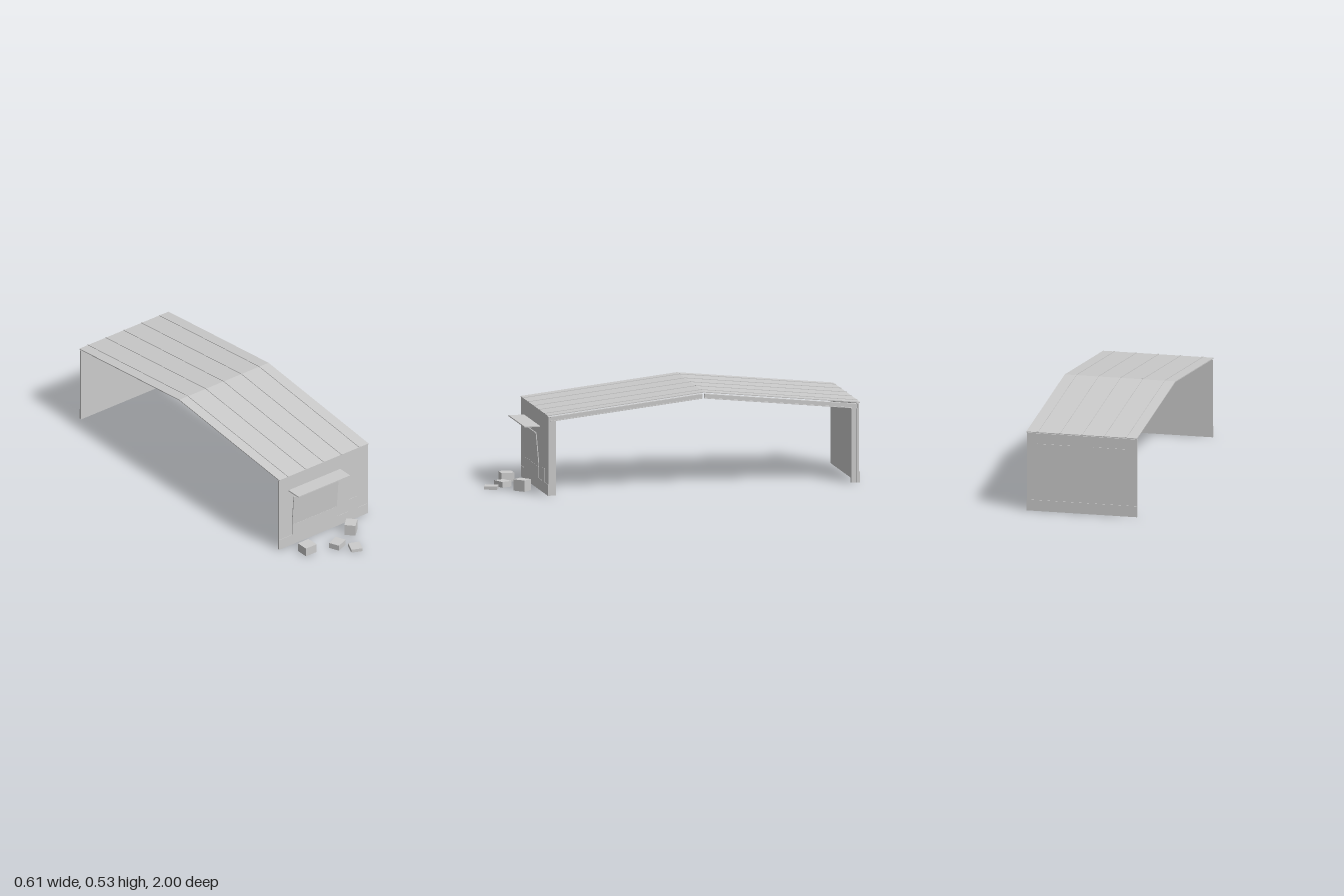
import * as THREE from 'three';

const grey = new THREE.MeshStandardMaterial({ color: 0xcccccc });
grey.name = 'light grey';

const RIDGE_Z = -0.14, RIDGE_Y = 0.527, SLOPE = 0.1074, HALF = 0.857;

export function createModel() {
  const root = new THREE.Group();

  const add = (name, geometry) => {
    const mesh = new THREE.Mesh(geometry, grey);
    mesh.name = name;
    root.add(mesh);
    return mesh;
  };

  // axis-aligned box from its limits
  const box = (name, x0, x1, y0, y1, z0, z1) => {
    const mesh = add(name, new THREE.BoxGeometry(x1 - x0, y1 - y0, z1 - z0));
    mesh.position.set((x0 + x1) / 2, (y0 + y1) / 2, (z0 + z1) / 2);
    return mesh;
  };

  // profile in (z, y) extruded across x
  const prism = (name, points, x0, x1) => {
    const shape = new THREE.Shape(points.map(([z, y]) => new THREE.Vector2(z, y)));
    const g = new THREE.ExtrudeGeometry(shape, { depth: x1 - x0, bevelEnabled: false });
    g.rotateY(-Math.PI / 2).translate(x1, 0, 0);
    return add(name, g);
  };

  // the shell is symmetrical about the ridge: d is the distance from it
  for (const side of [1, -1]) {
    const end = side > 0 ? 'front' : 'back';
    const z = d => RIDGE_Z + side * d;
    const slab = (name, d0, d1, top, bottom, x0, x1) => prism(name, [
      [z(d0), RIDGE_Y - SLOPE * d0 + bottom], [z(d1), RIDGE_Y - SLOPE * d1 + bottom],
      [z(d1), RIDGE_Y - SLOPE * d1 + top], [z(d0), RIDGE_Y - SLOPE * d0 + top],
    ], x0, x1);
    const upright = (name, x0, x1, y0, y1, d0, d1) =>
      box(name, x0, x1, y0, y1, Math.min(z(d0), z(d1)), Math.max(z(d0), z(d1)));

    // roof sheet and standing seams
    slab(end + 'Roof', 0, HALF, 0, -0.005, -0.303, 0.303);
    for (let i = -2; i <= 2; i++) {
      slab(end + 'RoofSeam', 0.001, HALF, 0.003, -0.001, i * 0.121 - 0.004, i * 0.121 + 0.004);
    }

    // end wall
    upright(end + 'Wall', -0.302, 0.302, 0, 0.427, 0.842, 0.852);

    // I-section rafter
    slab(end + 'RafterTopFlange', 0.006, 0.841, -0.012, -0.016, 0.282, 0.302);
    slab(end + 'RafterWeb', 0.006, 0.841, -0.015, -0.034, 0.289, 0.295);
    slab(end + 'RafterBottomFlange', 0.006, 0.841, -0.033, -0.037, 0.282, 0.302);

    // I-section column
    upright(end + 'ColumnInnerFlange', 0.282, 0.302, 0, 0.402, 0.809, 0.814);
    upright(end + 'ColumnWeb', 0.289, 0.295, 0, 0.402, 0.813, 0.838);
    upright(end + 'ColumnOuterFlange', 0.282, 0.302, 0, 0.402, 0.837, 0.842);
  }

  // front plinth stepping up under the hatch and around the small door
  const outline = [
    [-0.302, 0], [0.302, 0], [0.302, 0.06], [0.23, 0.06], [0.23, 0.134], [0.17, 0.134],
    [0.17, 0.06], [0.09, 0.06], [0.09, 0.122], [-0.213, 0.122], [-0.213, 0.06], [-0.302, 0.06],
  ];
  const plinth = new THREE.Shape(outline.map(([x, y]) => new THREE.Vector2(x, y)));
  add('frontPlinth', new THREE.ExtrudeGeometry(plinth, { depth: 0.003, bevelEnabled: false }))
    .position.z = 0.711;

  // hatch panel leaning out at the top
  prism('hatchPanel', [[0.708, 0.122], [0.713, 0.122], [0.729, 0.304], [0.724, 0.305]], -0.213, 0.09);

  // awning over the hatch
  box('awning', -0.237, 0.114, 0.34, 0.346, 0.71, 0.797);

  // back plinth and two high windows
  box('backPlinth', -0.302, 0.302, 0, 0.06, -0.995, -0.991);
  for (const s of [1, -1]) {
    box('backWindow', s * 0.152 - 0.09, s * 0.152 + 0.09, 0.32, 0.37, -0.995, -0.991);
  }

  // loose crates: x, z, width, height, depth, turn
  const crates = [
    [-0.196, 0.82, 0.072, 0.048, 0.07, 0],
    [0.11, 0.808, 0.07, 0.061, 0.06, 0.74],
    [-0.037, 0.878, 0.072, 0.031, 0.06, 0.4],
    [0.023, 0.956, 0.062, 0.018, 0.07, -0.4],
  ];
  for (const [x, z, w, h, d, turn] of crates) {
    const crate = add('crate', new THREE.BoxGeometry(w, h, d));
    crate.position.set(x, h / 2, z);
    crate.rotation.y = turn;
  }

  return root;
}
